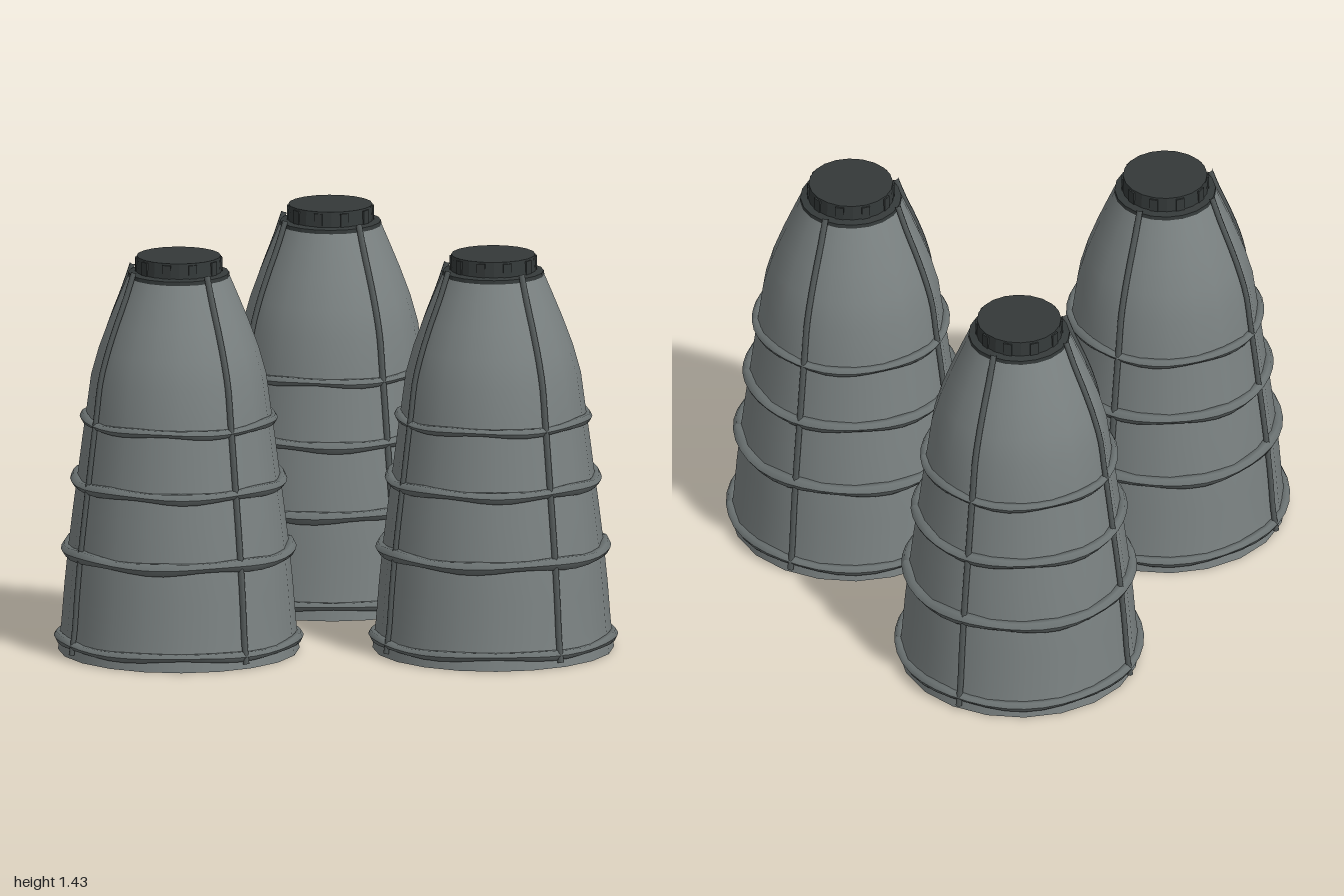
import * as THREE from 'three';

// Bell outline: [radius, height]
const PROFILE = [
  [0.43, 0], [0.418, 0.1], [0.407, 0.24], [0.393, 0.38], [0.376, 0.52], [0.36, 0.64],
  [0.342, 0.78], [0.328, 0.88], [0.312, 1.0], [0.284, 1.1], [0.247, 1.2], [0.21, 1.29], [0.176, 1.37],
];
const toPoints = (list) => list.map(([r, y]) => new THREE.Vector2(r, y));

function radiusAt(y) {
  for (let i = 1; i < PROFILE.length; i++) {
    const [r0, y0] = PROFILE[i - 1], [r1, y1] = PROFILE[i];
    if (y <= y1) return r0 + ((r1 - r0) * (y - y0)) / (y1 - y0);
  }
  return PROFILE[PROFILE.length - 1][0];
}

const material = (color, extra = {}) => new THREE.MeshStandardMaterial({ color, ...extra });
const bellMaterial = material(0x7b8282, { side: THREE.DoubleSide });
const bandMaterial = material(0x6a7171);
const strutMaterial = material(0x545a5a);
const capMaterial = material(0x343939, { flatShading: true, side: THREE.DoubleSide });

function addMesh(parent, name, geometry, mat) {
  const mesh = new THREE.Mesh(geometry, mat);
  mesh.name = name;
  parent.add(mesh);
  return mesh;
}

// Uneven hoop: its section swells and drifts slightly around the bell
function bandGeometry(y, thickness, phase) {
  const geometry = new THREE.TorusGeometry(radiusAt(y) + 0.004, thickness, 6, 40);
  geometry.rotateX(Math.PI / 2);
  const p = geometry.attributes.position;
  for (let i = 0; i < p.count; i++) {
    const a = Math.atan2(p.getZ(i), p.getX(i));
    const swell = 1 + 0.2 * Math.sin(7 * a + phase);
    p.setY(i, y + p.getY(i) * swell + 0.004 * Math.sin(5 * a + phase));
  }
  geometry.computeVertexNormals();
  return geometry;
}

// Round bar following the outside of the bell
function strutGeometry(angle) {
  const path = PROFILE.map(([r, y], i) => {
    const out = r + 0.008;
    const h = i === 0 ? 0.02 : i === PROFILE.length - 1 ? 1.385 : y;
    return new THREE.Vector3(out * Math.cos(angle), h, out * Math.sin(angle));
  });
  return new THREE.TubeGeometry(new THREE.CatmullRomCurve3(path), 30, 0.011, 6);
}

function createNozzle() {
  const nozzle = new THREE.Group();
  addMesh(nozzle, 'bell', new THREE.LatheGeometry(toPoints(PROFILE), 20), bellMaterial);

  // Hoops
  [[0.05, 0.017], [0.37, 0.022], [0.62, 0.02], [0.845, 0.016]].forEach(([y, t], i) =>
    addMesh(nozzle, 'band', bandGeometry(y, t, i * 1.7), bandMaterial));

  // Lengthwise bars
  [58, 152, 208, 302].forEach((deg) =>
    addMesh(nozzle, 'strut', strutGeometry(THREE.MathUtils.degToRad(deg)), strutMaterial));

  // Dark throat cap with shoulder and small ribs
  const cap = toPoints([[0.182, 1.355], [0.18, 1.37], [0.154, 1.375], [0.15, 1.43], [0, 1.43]]);
  addMesh(nozzle, 'throatCap', new THREE.LatheGeometry(cap, 20), capMaterial);
  for (let i = 0; i < 10; i++) {
    const a = (i / 10) * Math.PI * 2;
    const rib = addMesh(nozzle, 'capRib', new THREE.BoxGeometry(0.012, 0.05, 0.03), capMaterial);
    rib.position.set(0.149 * Math.cos(a), 1.398, 0.149 * Math.sin(a));
    rib.rotation.y = -a;
  }
  return nozzle;
}

export function createModel() {
  const model = new THREE.Group();
  model.name = 'nozzleCluster';
  const places = { leftNozzle: [0.56, 0.438], rightNozzle: [-0.56, 0.438], rearNozzle: [0, -0.438] };
  for (const [name, [x, z]] of Object.entries(places)) {
    const nozzle = createNozzle();
    nozzle.name = name;
    nozzle.position.set(x, 0, z);
    model.add(nozzle);
  }
  return model;
}
